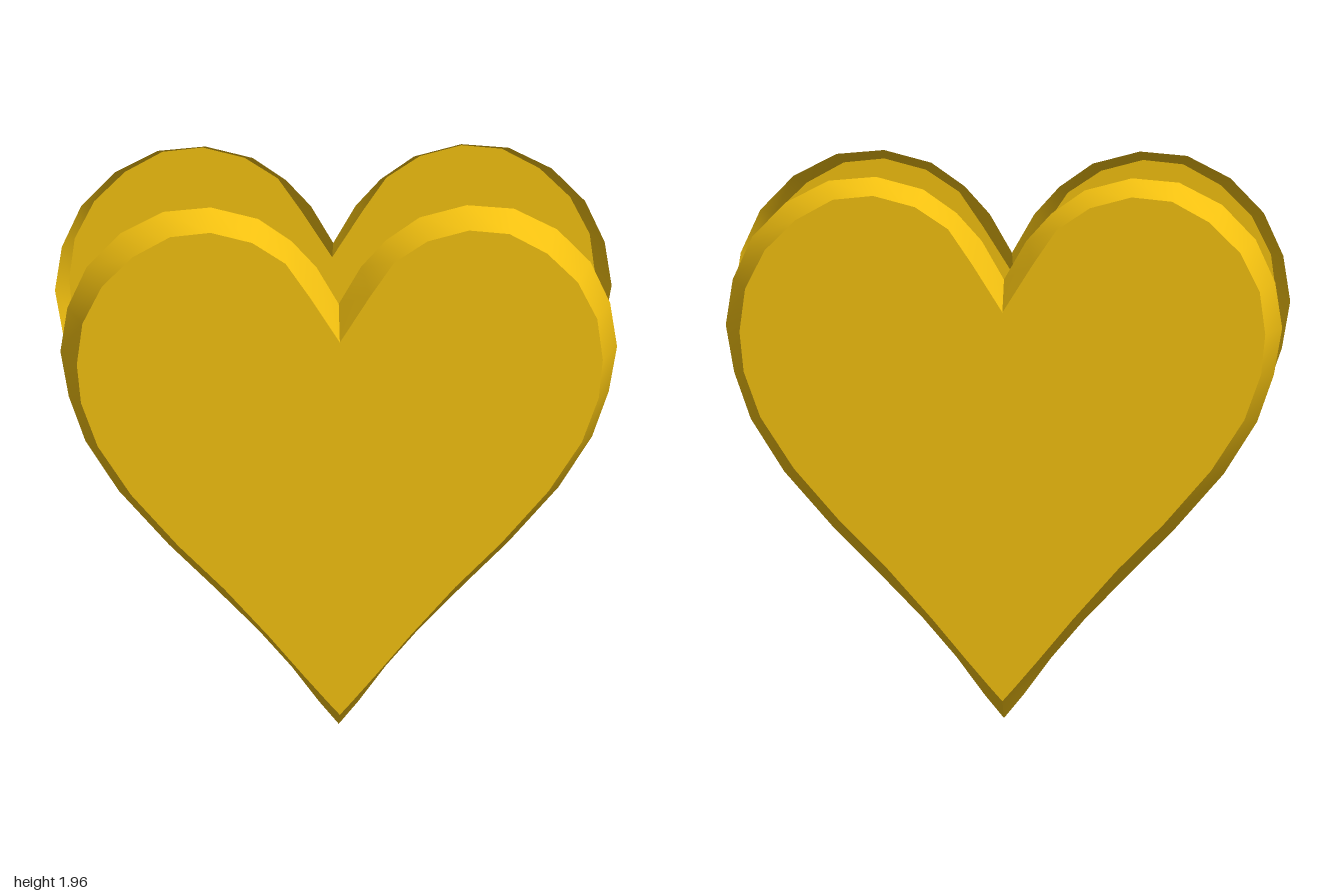
import * as THREE from 'three';

// Half outlines from notch to tip: wide open rim and narrower cap
const RIM = [[0, 1.59], [0.08, 1.73], [0.17, 1.83], [0.29, 1.915], [0.46, 1.96], [0.63, 1.945],
  [0.785, 1.865], [0.905, 1.74], [0.975, 1.585], [1, 1.42], [0.97, 1.25], [0.91, 1.08],
  [0.79, 0.89], [0.61, 0.685], [0.45, 0.525], [0.29, 0.36], [0.17, 0.22], [0.07, 0.085], [0, 0]];
const CAP = [[0, 1.49], [0.11, 1.665], [0.195, 1.79], [0.315, 1.87], [0.465, 1.91], [0.61, 1.895],
  [0.745, 1.82], [0.855, 1.71], [0.925, 1.57], [0.945, 1.415], [0.93, 1.27], [0.87, 1.105],
  [0.75, 0.92], [0.58, 0.725], [0.415, 0.56], [0.255, 0.38], [0.13, 0.23], [0.04, 0.125], [0, 0.08]];
const RIM_Z = 0.345, CAP_Z = 0.483;

const mirror = pts => pts.map(([x, y]) => [-x, y]).reverse();

// Smooth sloping wall between rim and cap for one half
function wallGeometry(rim, cap) {
  const pos = [], index = [];
  rim.forEach((p, i) => {
    pos.push(...p, RIM_Z, ...cap[i], CAP_Z);
    if (i < rim.length - 1) {
      const a = 2 * i;
      index.push(a, a + 1, a + 3, a, a + 3, a + 2);
    }
  });
  const geo = new THREE.BufferGeometry();
  geo.setAttribute('position', new THREE.Float32BufferAttribute(pos, 3));
  geo.setIndex(index);
  geo.computeVertexNormals();
  return geo;
}

function createHeart(name, material) {
  const heart = new THREE.Group();
  heart.name = name;
  const add = (geo, part) => {
    const mesh = new THREE.Mesh(geo, material);
    mesh.name = part;
    heart.add(mesh);
    return mesh;
  };

  // Flat heart face
  const outline = [...CAP, ...mirror(CAP).slice(1, -1)].map(p => new THREE.Vector2(...p));
  add(new THREE.ShapeGeometry(new THREE.Shape(outline)), 'heartFace').position.z = CAP_Z;

  // Side walls, split at notch and tip so those edges stay sharp
  add(wallGeometry(RIM, CAP), 'leftWall');
  add(wallGeometry(mirror(RIM), mirror(CAP)), 'rightWall');
  return heart;
}

export function createModel() {
  const model = new THREE.Group();
  model.name = 'heartPair';
  const gold = new THREE.MeshStandardMaterial({ color: 0xf2c010, side: THREE.DoubleSide });

  // Two hollow shells, open sides facing each other
  const front = createHeart('frontHeart', gold);
  const back = createHeart('backHeart', gold);
  back.rotation.y = Math.PI;
  model.add(front, back);
  return model;
}
